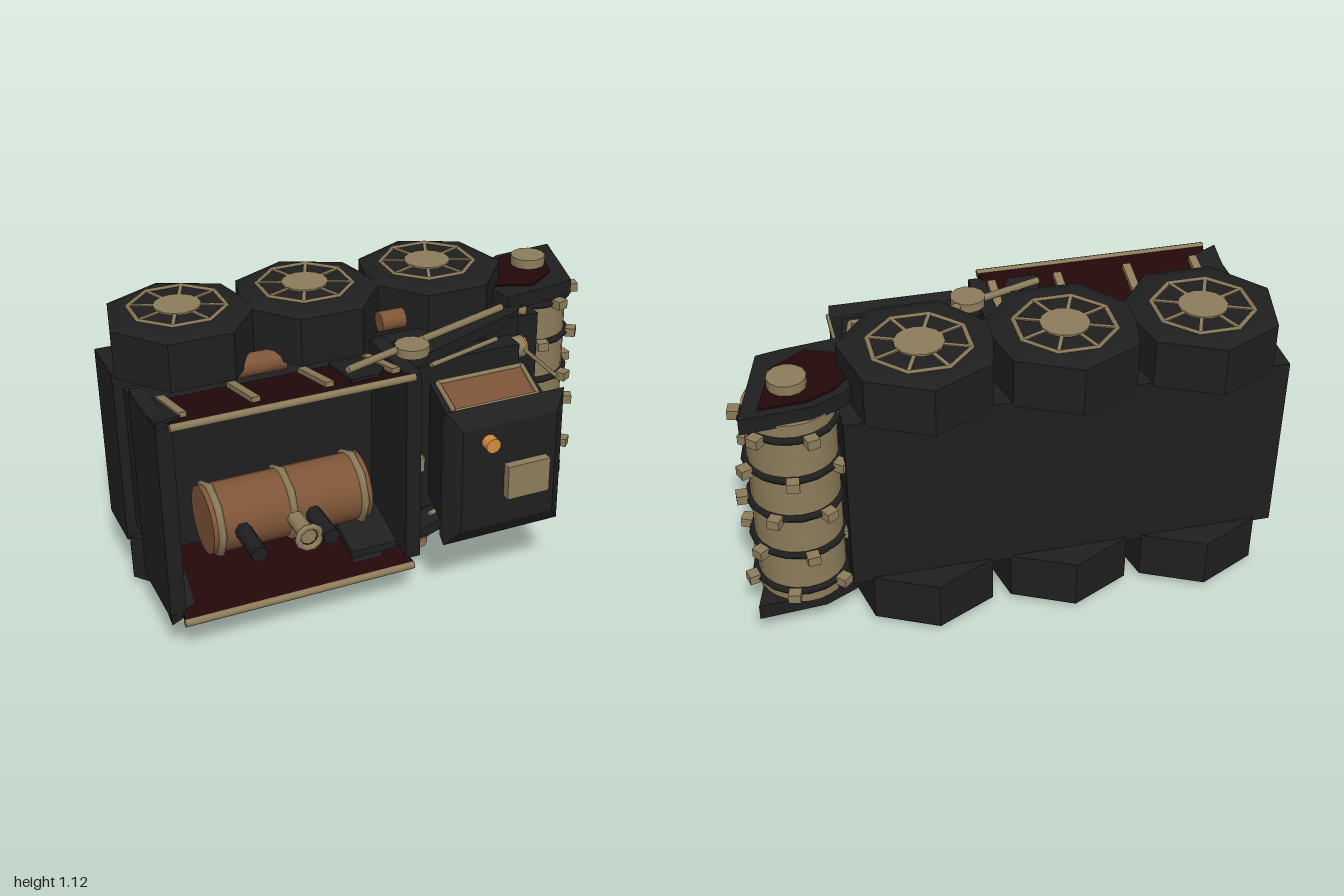
import * as THREE from 'three';

const mat = (name, color) => Object.assign(new THREE.MeshStandardMaterial({ color }), { name });
const black = mat('black iron', 0x1f1f1f), tan = mat('tan brass', 0x8c7c5a), brown = mat('brown copper', 0x7f5538);
const red = mat('dark red paint', 0x220809), orange = mat('orange lamp', 0xcf8b40);
// The truck lies on its side: forward is +x, its roof is +z, its width runs along y
const MID = 0.56, CAB = 0.54;

export function createModel() {
  const root = new THREE.Group();
  root.name = 'armouredTruck';

  const add = (name, geo, m, x = 0, y = 0, z = 0) => {
    const mesh = new THREE.Mesh(geo, m);
    mesh.name = name;
    mesh.position.set(x, y, z);
    root.add(mesh);
    return mesh;
  };
  // box given by its limits
  const box = (name, m, x0, x1, y0, y1, z0, z1) =>
    add(name, new THREE.BoxGeometry(x1 - x0, y1 - y0, z1 - z0), m, (x0 + x1) / 2, (y0 + y1) / 2, (z0 + z1) / 2);
  // plate with an x-z outline, running from y0 to y1
  const plateGeo = (pts, y0, y1) => {
    const shape = new THREE.Shape(pts.map(([x, z]) => new THREE.Vector2(x, -z)));
    return new THREE.ExtrudeGeometry(shape, { depth: y1 - y0, bevelEnabled: false }).rotateX(-Math.PI / 2).translate(0, y0, 0);
  };
  // limits along y for side s, from distance a to distance b off the middle
  const span = (s, a, b, mid = MID) => (s > 0 ? [mid + a, mid + b] : [mid - b, mid - a]);
  // straight rod between two points
  const rod = (name, m, a, b, r, sides = 8) => {
    const p = new THREE.Vector3(...a), q = new THREE.Vector3(...b), d = q.clone().sub(p);
    const mesh = add(name, new THREE.CylinderGeometry(r, r, d.length(), sides), m, ...p.clone().add(q).multiplyScalar(0.5));
    mesh.quaternion.setFromUnitVectors(new THREE.Vector3(0, 1, 0), d.normalize());
    return mesh;
  };
  // seven-sided block with crisp faces
  const heptagon = (rTop, rBottom, h) => {
    const geo = new THREE.CylinderGeometry(rTop, rBottom, h, 7).rotateY(Math.PI).toNonIndexed();
    geo.computeVertexNormals();
    return geo;
  };

  // Chassis, open between the bed and the cab
  box('chassis', black, -1, 0.62, 0.2, 0.92, -0.53, -0.29);
  box('bedFrame', black, -0.96, 0, 0.26, 0.86, -0.29, -0.1);
  box('cabFrame', black, 0.12, 0.6, 0.26, 0.86, -0.29, -0.1);
  box('frontBumper', black, 0.58, 0.67, 0.19, 0.94, -0.16, -0.08);
  box('frontBulkhead', black, 0.56, 0.62, 0.2, 0.92, -0.5, -0.12);

  // Wheels
  for (const s of [1, -1]) for (const x of [-0.71, -0.2, 0.32]) {
    const z = -0.37, outer = 0.238, full = 0.288;
    add('tyre', heptagon(full, full, 0.19), black, x, MID + s * 0.44, -0.352);
    add('tyreBevel', s > 0 ? heptagon(outer, full, 0.018) : heptagon(full, outer, 0.018), black, x, MID + s * 0.544, -0.354);
    add('rim', new THREE.TorusGeometry(0.185, 0.016, 4, 8).rotateZ(Math.PI / 8).rotateX(Math.PI / 2), tan, x, MID + s * 0.546, z);
    add('hub', new THREE.CylinderGeometry(0.09, 0.09, 0.014, 14), tan, x, MID + s * 0.553, z);
    for (let i = 0; i < 8; i++)
      add('spoke', new THREE.BoxGeometry(0.11, 0.01, 0.014).translate(0.125, 0, 0).rotateY((i + 0.5) * Math.PI / 4),
        tan, x, MID + s * 0.553, z);
  }

  // Front roller with side plates, axle and toothed rings
  const rx = 0.785, rz = -0.38;
  add('roller', new THREE.CylinderGeometry(0.162, 0.162, 0.8, 24), tan, rx, MID, rz);
  add('rollerAxle', new THREE.CylinderGeometry(0.07, 0.07, 0.99, 12), tan, rx, MID, rz);
  for (let k = -2; k <= 2; k++) {
    const y = MID + k * 0.17;
    add('rollerRing', new THREE.TorusGeometry(0.168, 0.015, 5, 16).rotateX(Math.PI / 2), black, rx, y, rz);
    for (let i = 0; i < 6; i++)
      add('rollerTooth', new THREE.BoxGeometry(0.042, 0.036, 0.046).translate(0.193, 0, 0).rotateY(i * Math.PI / 3 + k * 0.4),
        tan, rx, y, rz);
  }
  const cheek = [[0.97, -0.54], [0.87, -0.17], [0.78, -0.15], [0.56, -0.12], [0.5, -0.32], [0.6, -0.46], [0.72, -0.52]];
  const panel = [[0.9, -0.5], [0.83, -0.27], [0.7, -0.18], [0.55, -0.24], [0.56, -0.36], [0.63, -0.44], [0.73, -0.49]];
  for (const s of [1, -1]) {
    add('rollerCheek', plateGeo(cheek, ...span(s, 0.39, 0.45)), black);
    add('cheekPanel', plateGeo(panel, ...span(s, 0.45, 0.457)), red);
  }

  // Load bed: the side walls lean outwards
  box('bedFloor', black, -0.95, 0, 0.25, 0.87, -0.12, -0.08);
  box('tailBoard', black, -0.99, -0.93, 0.16, 0.95, -0.1, 0.23);
  box('headBoard', black, -0.05, 0.01, 0.17, 0.96, -0.1, 0.24);
  box('headBoardLatch', tan, 0.01, 0.035, 0.53, 0.59, 0.17, 0.22);
  for (const s of [1, -1]) {
    const lean = (name, pts, a, b, m) => {
      const geo = plateGeo(pts, ...span(s, a, b)), p = geo.attributes.position;
      for (let i = 0; i < p.count; i++) p.setY(i, p.getY(i) + s * 0.25 * (p.getZ(i) + 0.1));
      geo.computeVertexNormals();
      return add(name, geo, m);
    };
    const rect = (x0, x1, z0, z1) => [[x0, z0], [x1, z0], [x1, z1], [x0, z1]];
    lean('bedWall', [[-0.88, -0.1], [-0.12, -0.1], [-0.03, 0.266], [-0.95, 0.266]], 0.3, 0.323, red);
    for (const x of [-0.88, -0.61, -0.33, -0.07]) lean('wallRib', rect(x - 0.016, x + 0.016, -0.09, 0.19), 0.323, 0.343, tan);
    lean('rearCorner', [[-0.98, -0.1], [-0.86, -0.1], [-0.89, 0.2], [-0.99, 0.24]], 0.3, 0.335, black);
    lean('frontCorner', [[-0.22, -0.1], [-0.02, -0.1], [-0.06, 0.08], [-0.14, 0.2], [-0.25, 0.2]], 0.3, 0.335, black);
    lean('innerStrut', rect(-0.25, -0.06, -0.08, 0.18), 0.27, 0.3, black);
    rod('topRail', tan, [-0.95, MID + s * 0.406, 0.267], [-0.03, MID + s * 0.406, 0.267], 0.015);
    // fuel bottles between the wheels
    rod('fuelBottle', brown, [0.02, MID + s * 0.43, -0.165], [0.12, MID + s * 0.43, -0.165], 0.04, 10);
    rod('fuelBottle', brown, [-0.56, MID + s * 0.34, -0.2], [-0.36, MID + s * 0.34, -0.2], 0.045, 10);
  }

  // Boiler tank above the bed
  const ty = 0.63, tz = 0.35;
  rod('tank', brown, [-0.88, ty, tz], [-0.29, ty, tz], 0.124, 20);
  for (const x of [-0.85, -0.585, -0.32])
    add('tankBand', new THREE.TorusGeometry(0.126, 0.015, 6, 8).rotateY(Math.PI / 2), tan, x, ty, tz);
  for (const x of [-0.775, -0.515]) rod('exhaustPipe', black, [x, ty, 0.44], [x, ty, 0.635], 0.031, 7);
  rod('valveStem', tan, [-0.585, ty, 0.46], [-0.585, ty, 0.6], 0.03);
  add('valveWheel', new THREE.TorusGeometry(0.042, 0.012, 6, 10), tan, -0.585, ty, 0.605);

  // Cab
  box('cabDeck', black, 0, 0.57, 0.17, 0.95, -0.13, -0.06);
  box('cabBase', black, 0.1, 0.53, 0.24, 0.88, -0.06, 0.03);
  box('cabNose', black, 0.53, 0.58, 0.35, 0.77, -0.06, 0.03);
  add('cabBody', plateGeo([[0.16, -0.04], [0.57, -0.04], [0.55, 0.05], [0.49, 0.34], [0.08, 0.34]], CAB - 0.25, CAB + 0.25), black);
  // windscreen and its bars follow the slope of the cab front
  const slope = 0.06 / 0.29;
  const screen = (name, m, y0, y1, z0, z1, out) => {
    const z = (z0 + z1) / 2;
    const mesh = add(name, new THREE.BoxGeometry(0.008, y1 - y0, z1 - z0), m, 0.55 - (z - 0.05) * slope + out, (y0 + y1) / 2, z);
    mesh.rotation.y = -Math.atan(slope);
  };
  screen('windscreen', brown, 0.333, 0.742, 0.085, 0.285, 0.003);
  for (const y of [0.405, 0.67]) screen('windscreenBar', black, y - 0.003, y + 0.003, 0.085, 0.285, 0.006);
  for (const s of [1, -1]) {
    const glass = [[0.165, 0.055], [0.53, 0.055], [0.47, 0.29], [0.12, 0.29]], fy = CAB + s * 0.26;
    add('sideWindow', plateGeo(glass, ...span(s, 0.25, 0.258, CAB)), brown);
    glass.forEach(([x, z], i) => {
      const [u, w] = glass[(i + 1) % 4];
      rod('windowFrame', tan, [x, fy, z], [u, fy, w], 0.01, 6);
    });
    rod('mirrorPost', tan, [0.555, MID + s * 0.29, 0.03], [0.555, MID + s * 0.29, 0.28], 0.008, 6);
    rod('deckRail', tan, [0.13, MID + s * 0.33, 0.07], [0.46, MID + s * 0.33, -0.03], 0.01, 6);
    // headlamps
    rod('headlampRing', tan, [0.52, MID + s * 0.265, -0.05], [0.585, MID + s * 0.265, -0.05], 0.046, 10);
    rod('headlamp', orange, [0.55, MID + s * 0.265, -0.05], [0.595, MID + s * 0.265, -0.05], 0.039, 10);
    // lifting arm with its pivot
    const y = MID + s * 0.42;
    add('armBeam', plateGeo([[0.01, 0.04], [0.56, -0.18], [0.62, -0.12], [0.55, -0.07], [0.08, 0.12], [0.02, 0.11]],
      ...span(s, 0.36, 0.405)), black);
    rod('armRod', tan, [-0.24, y, 0.14], [0.52, y, -0.11], 0.015, 6);
    rod('armPivot', tan, [0.05, MID + s * 0.4, 0.07], [0.05, MID + s * 0.435, 0.07], 0.066, 12);
    rod('armTip', tan, [0.56, MID + s * 0.38, -0.15], [0.63, MID + s * 0.38, -0.1], 0.028, 4);
    box('fender', black, 0.4, 0.62, ...span(s, 0.33, 0.4), -0.2, -0.11);
  }

  // Roof in two sloping tiers, each given by its half sizes at the bottom and top
  const tier = (name, z0, z1, [bx, by], [tx, tyHalf]) => {
    const geo = new THREE.BoxGeometry(2, 2, z1 - z0), p = geo.attributes.position;
    for (let i = 0; i < p.count; i++) {
      const up = p.getZ(i) > 0;
      p.setXY(i, p.getX(i) * (up ? tx : bx), p.getY(i) * (up ? tyHalf : by));
    }
    geo.computeVertexNormals();
    add(name, geo, black, 0.295, MID, (z0 + z1) / 2);
  };
  tier('roofEaves', 0.335, 0.358, [0.25, 0.25], [0.245, 0.285]);
  tier('roofTop', 0.358, 0.405, [0.245, 0.285], [0.195, 0.215]);
  box('roofHatch', tan, 0.275, 0.45, 0.465, 0.605, 0.4, 0.44);
  rod('roofLamp', orange, [0.205, 0.715, 0.4], [0.205, 0.715, 0.445], 0.03, 10);

  return root;
}
